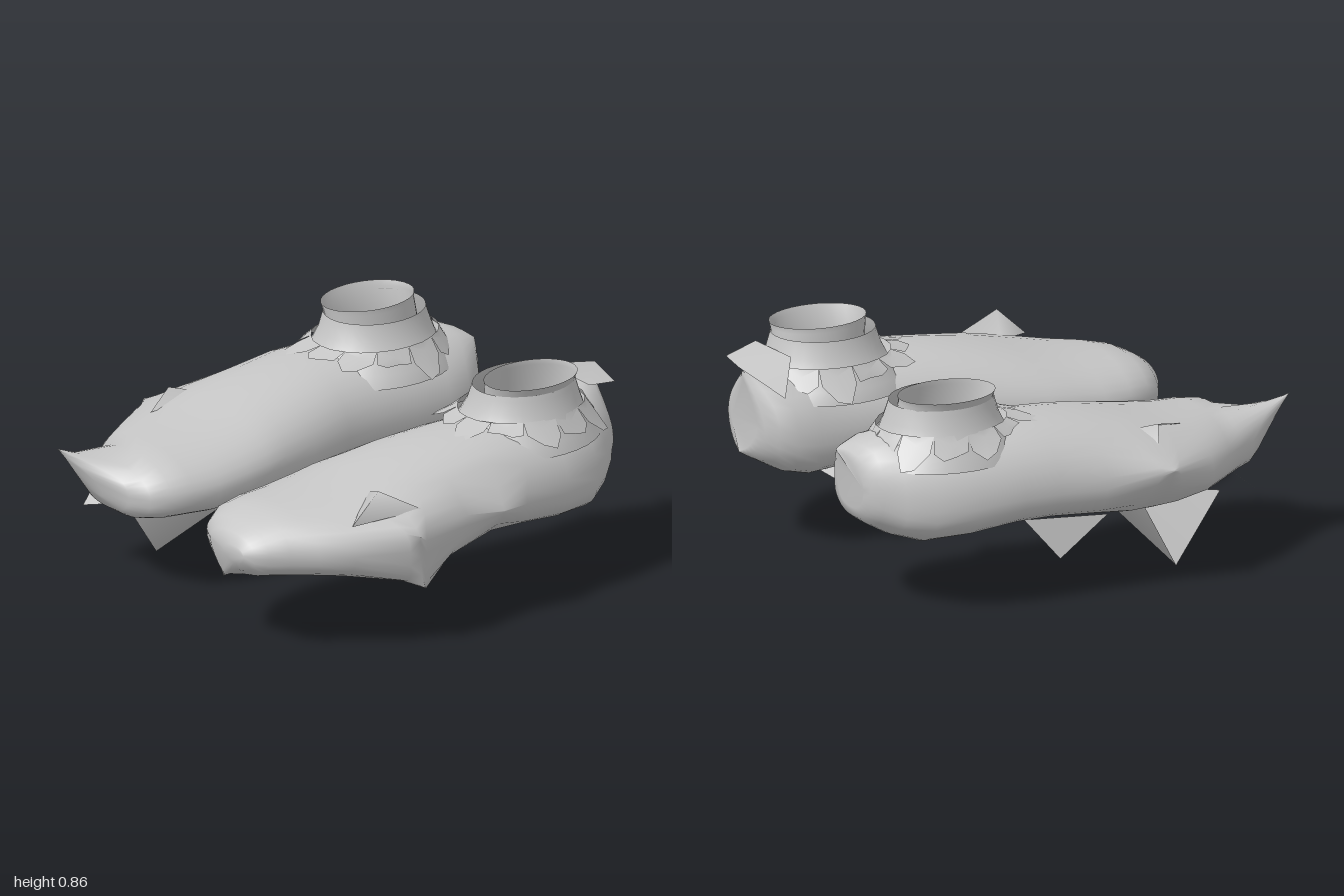
import * as THREE from 'three';

const grey = new THREE.MeshStandardMaterial({ color: 0xc6c6c6, side: THREE.DoubleSide });
grey.name = 'plain grey';

function surface(name, points, idx, s) {
  const g = new THREE.BufferGeometry();
  const pos = points.flatMap(([x, y, z]) => [s * x, y, z]);
  g.setAttribute('position', new THREE.Float32BufferAttribute(pos, 3));
  g.setIndex(idx);
  g.computeVertexNormals();
  const m = new THREE.Mesh(g, grey);
  m.name = name;
  return m;
}

// Skin a list of closed rings of equal length; caps close the ends.
function loft(name, rings, s, caps = false) {
  const n = rings[0].length, idx = [];
  const tri = (a, b, c) => (s > 0 ? idx.push(a, b, c) : idx.push(a, c, b));
  for (let r = 0; r < rings.length - 1; r++) {
    for (let i = 0; i < n; i++) {
      const a = r * n + i, b = r * n + (i + 1) % n;
      tri(a, b, b + n);
      tri(a, b + n, a + n);
    }
  }
  if (caps) {
    const last = (rings.length - 1) * n;
    for (let i = 1; i < n - 1; i++) {
      tri(0, i + 1, i);
      tri(last, last + i, last + i + 1);
    }
  }
  return surface(name, rings.flat(), idx, s);
}

// Thin scrap: a fan of triangles around the first corner.
function scrap(name, pts, s) {
  const idx = [];
  for (let i = 1; i < pts.length - 1; i++) idx.push(0, i, i + 1);
  return surface(name, pts, idx, s);
}

// Foot stations from heel to toe: z, inner x, outer x, bottom, widest height, top
const STATIONS = [
  [-0.94, 0.32, 0.54, 0.42, 0.52, 0.62],
  [-0.93, 0.28, 0.58, 0.38, 0.51, 0.67],
  [-0.89, 0.23, 0.62, 0.35, 0.49, 0.70],
  [-0.82, 0.20, 0.68, 0.31, 0.46, 0.72],
  [-0.72, 0.19, 0.75, 0.28, 0.45, 0.72],
  [-0.55, 0.19, 0.79, 0.29, 0.45, 0.71],
  [-0.35, 0.18, 0.80, 0.31, 0.46, 0.71],
  [-0.20, 0.17, 0.81, 0.31, 0.46, 0.71],
  [0.00, 0.13, 0.82, 0.29, 0.45, 0.685],
  [0.15, 0.11, 0.84, 0.275, 0.45, 0.66],
  [0.26, 0.09, 0.85, 0.275, 0.45, 0.635],
  [0.36, 0.09, 0.83, 0.28, 0.44, 0.615],
  [0.50, 0.09, 0.78, 0.29, 0.43, 0.59],
  [0.62, 0.105, 0.70, 0.305, 0.43, 0.58],
  [0.71, 0.13, 0.63, 0.31, 0.43, 0.565],
  [0.78, 0.18, 0.59, 0.32, 0.43, 0.53],
  [0.825, 0.26, 0.55, 0.35, 0.43, 0.50],
  [0.85, 0.38, 0.51, 0.39, 0.43, 0.46],
];

function footRing([z, xi, xo, yb, ym, yt], n = 32) {
  return Array.from({ length: n }, (_, i) => {
    const a = (i / n) * Math.PI * 2, c = Math.cos(a), d = Math.sin(a);
    const x = (xi + xo) / 2 + (xo - xi) / 2 * Math.sign(c) * Math.abs(c) ** 0.88;
    const y = d > 0 ? ym + (yt - ym) * d : ym - (ym - yb) * Math.abs(d) ** 0.8;
    return [x, y, z];
  });
}

// Drag the skin out to a point; the pull fades to nothing at the radius.
function pull(rings, [x, y, z, radius]) {
  const dist = (p) => Math.hypot(p[0] - x, p[1] - y, p[2] - z);
  const near = Math.min(...rings.flat().map(dist));
  return rings.map((ring) => ring.map((p) => {
    const f = Math.max(0, (radius - dist(p)) / (radius - near));
    return [p[0] + (x - p[0]) * f, p[1] + (y - p[1]) * f, p[2] + (z - p[2]) * f];
  }));
}

// Level oval ring
function oval([y, cx, cz, rx, rz], n = 32) {
  return Array.from({ length: n }, (_, i) => {
    const a = (-i / n) * Math.PI * 2;
    return [cx + rx * Math.cos(a), y, cz + rz * Math.sin(a)];
  });
}

// Fringe teeth: bottom height and reach beyond the ankle, repeated round the ring
const TEETH = [[0.63, 0.30], [0.66, 0.26], [0.61, 0.31], [0.65, 0.275]];

function shoe(s, pulls) {
  const body = new THREE.Group();
  body.name = 'shoeBody';
  body.position.x = 0.008;
  const rings = pulls.reduce(pull, STATIONS.map((st) => footRing(st)));
  body.add(loft('foot', rings, s, true));

  // Ankle flare and the inner sleeve poking out of it
  body.add(loft('ankle', [
    [0.60, 0.47, -0.55, 0.285, 0.34], [0.65, 0.47, -0.55, 0.265, 0.30],
    [0.70, 0.475, -0.555, 0.23, 0.26], [0.76, 0.478, -0.56, 0.20, 0.235],
    [0.81, 0.48, -0.56, 0.185, 0.22], [0.83, 0.48, -0.56, 0.18, 0.215],
  ].map((r) => oval(r)), s));
  body.add(loft('sleeve', [
    [0.64, 0.49, -0.57, 0.13, 0.19], [0.76, 0.50, -0.57, 0.13, 0.195],
    [0.84, 0.52, -0.56, 0.14, 0.20], [0.862, 0.525, -0.56, 0.145, 0.205],
  ].map((r) => oval(r)), s));

  // Ragged fringe lying on the ankle, lifted over the instep
  const count = 12;
  for (let i = 0; i < count; i++) {
    const at = (t, y, r) => {
      const a = (t / count) * Math.PI * 2, front = Math.max(0, Math.sin(a));
      const drop = 0.735 - y;
      return [0.47 + r * Math.cos(a), y + 0.75 * drop * front, -0.555 + (r + 0.05 + 0.4 * drop * front) * Math.sin(a)];
    };
    const [low, reach] = TEETH[i % TEETH.length];
    body.add(scrap('ankleFringe', [
      at(i + 0.5, 0.705, 0.235), at(i, 0.735, 0.218), at(i + 0.5, 0.735, 0.22), at(i + 1, 0.735, 0.218),
      at(i + 0.9, 0.675, 0.258), at(i + 0.55, low + 0.01, reach - 0.01),
      at(i + 0.25, low, reach), at(i, 0.675, 0.258), at(i, 0.735, 0.218),
    ], s));
  }
  const g = new THREE.Group();
  g.name = s > 0 ? 'leftShoe' : 'rightShoe';
  g.add(body);
  return g;
}

export function createModel() {
  const model = new THREE.Group();
  model.name = 'pairOfShoes';

  // Corners dragged out of each foot: x, y, z, radius
  const left = shoe(1, [
    [0.88, 0.51, 0.26, 0.22], [0.85, 0.25, 0.21, 0.28], [0.85, 0.48, -0.18, 0.20],
    [0.40, 0.74, -0.97, 0.22], [0.44, 0.39, -0.96, 0.18], [0.30, 0.27, 0.79, 0.16],
  ]);
  const right = shoe(-1, [
    [0.90, 0.51, 0.26, 0.25], [0.51, 0.60, 0.99, 0.27], [0.36, 0.64, -0.965, 0.20],
  ]);

  // Torn scraps of the left shoe
  left.add(scrap('heelFlap', [[0.38, 0.765, -0.995], [0.23, 0.66, -0.87], [0.33, 0.79, -0.79],
    [0.60, 0.78, -0.80], [0.57, 0.75, -0.95]], 1));
  left.add(scrap('sidePoint', [[0.76, 0.67, 0.37], [0.76, 0.55, 0.50], [0.60, 0.60, 0.30], [0.80, 0.56, 0.18], [0.76, 0.55, 0.50]], 1));
  left.add(scrap('archSpike', [[0.205, 0.21, -0.53], [0.20, 0.37, -0.36], [0.34, 0.30, -0.66]], 1));

  // Torn scraps of the right shoe
  right.add(scrap('solePoint', [[0.59, 0.0, 0.43], [0.64, 0.30, 0.60], [0.33, 0.28, 0.20], [0.72, 0.31, 0.22]], -1));
  right.add(scrap('soleSpike', [[0.70, 0.155, -0.15], [0.76, 0.33, 0.03], [0.64, 0.32, -0.28]], -1));
  right.add(scrap('archSpike', [[0.19, 0.20, -0.50], [0.36, 0.30, -0.62], [0.21, 0.36, -0.38]], -1));
  right.add(scrap('toeSpike', [[0.62, 0.27, 0.77], [0.66, 0.36, 0.66], [0.42, 0.33, 0.72]], -1));
  right.add(scrap('sidePoint', [[0.68, 0.635, 0.30], [0.60, 0.59, 0.45], [0.60, 0.60, 0.15], [0.78, 0.55, 0.25]], -1));

  model.add(left, right);
  return model;
}
